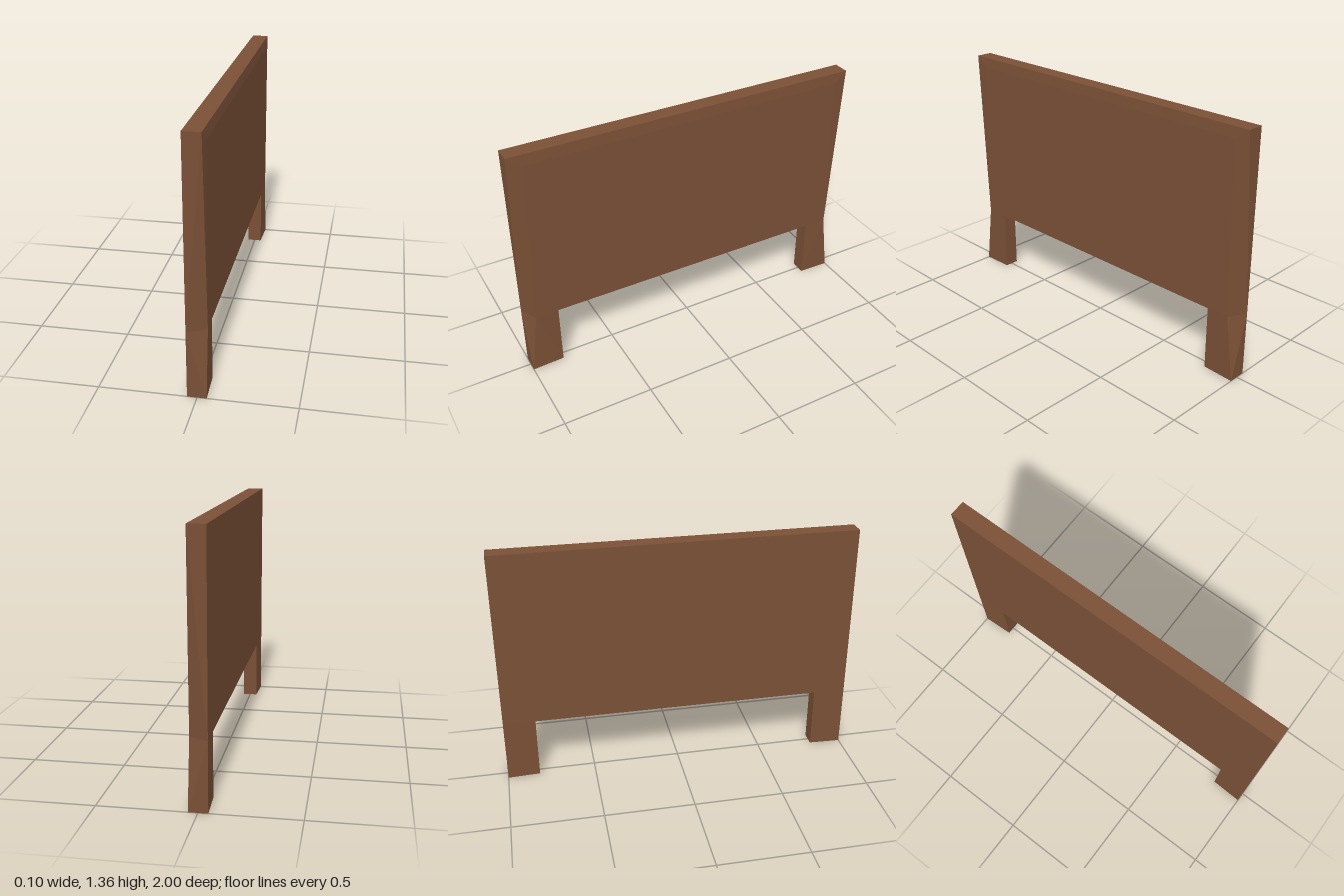
import * as THREE from 'three';
import { ConvexGeometry } from 'three/addons/geometries/ConvexGeometry.js';

const H = 1.36;      // overall height
const LEG = 0.36;    // leg height

export function createModel() {
  const group = new THREE.Group();
  group.name = 'headboard';
  const wood = new THREE.MeshStandardMaterial({ color: 0x7a5036 });
  wood.name = 'brown wood';

  // Faceted solid spanned by its corner points
  const solid = (name, corners) => {
    const mesh = new THREE.Mesh(
      new ConvexGeometry(corners.map((c) => new THREE.Vector3(...c))), wood);
    mesh.name = name;
    group.add(mesh);
  };

  // Panel: square on the -x face, narrowing towards the bottom on the +x face,
  // which swells slightly below its top edge
  const panel = [];
  for (const s of [-1, 1]) {
    panel.push(
      [-0.05, LEG, s], [-0.05, H, s],
      [0.042, H, s], [0.047, 1.3, s * 0.92], [0.048, LEG, s * 0.95]);
  }
  solid('panel', panel);

  // Legs: flared outwards at the foot, thinner along the inner side
  for (const s of [-1, 1]) {
    solid(s > 0 ? 'frontLeg' : 'backLeg', [
      [-0.05, 0, s], [0.048, 0, s],
      [-0.05, LEG, s], [0.048, LEG, s * 0.95],
      [-0.042, 0, s * 0.82], [0.041, 0, s * 0.82],
      [-0.042, LEG, s * 0.82], [0.041, LEG, s * 0.82],
    ]);
  }
  return group;
}
